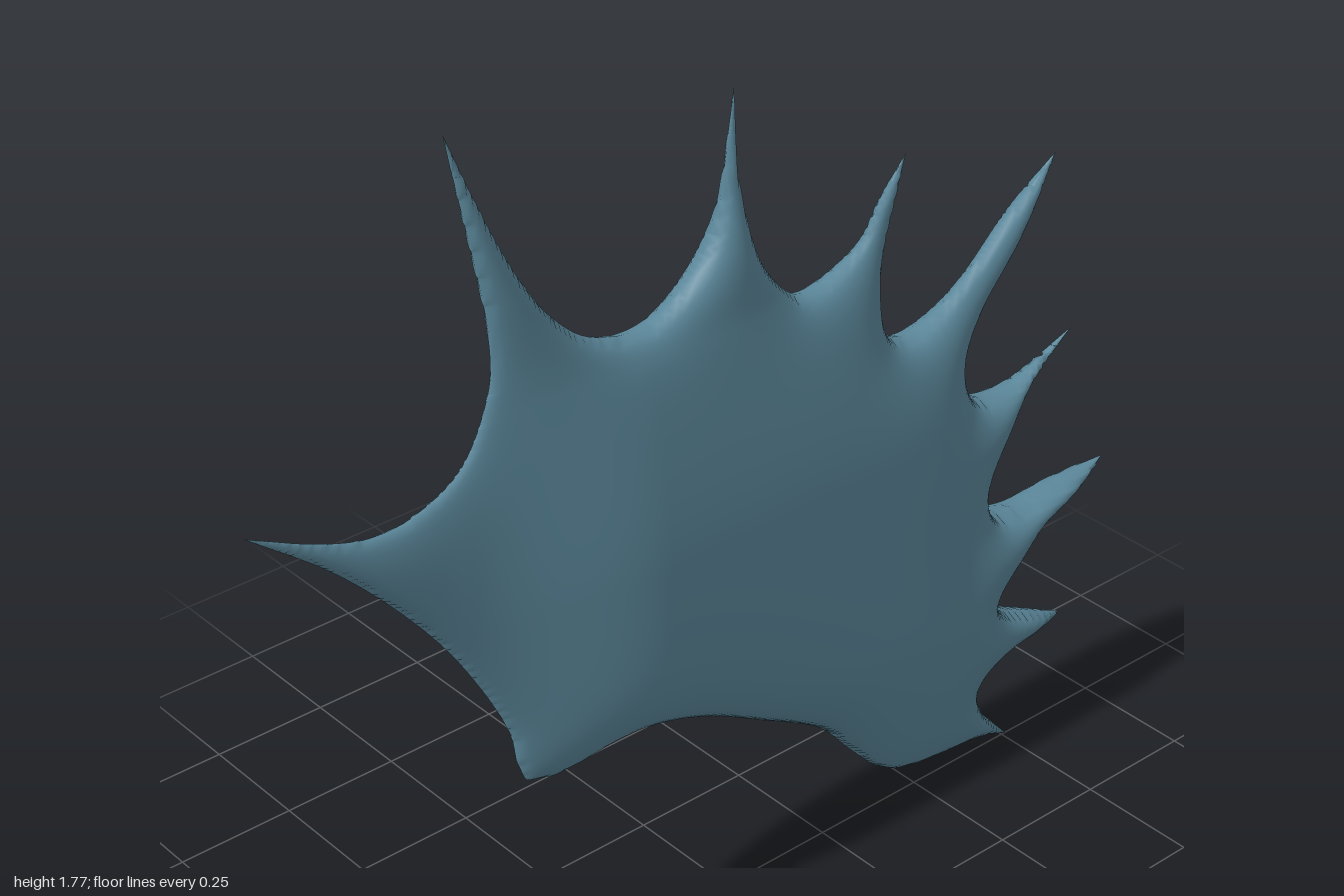
import * as THREE from 'three';

// Spike tips as [z, y], from the front spike over the top and down the back
const TIPS = [
  [1, 1.21], [0.58, 1.77], [-0.015, 1.67], [-0.42, 1.425], [-0.81, 1.305],
  [-0.885, 0.91], [-1, 0.575], [-0.9, 0.243], [-0.76, 0.003],
];

// Curved edge leading from each tip to the next; the last one is the lower edge
const EDGES = [
  [[0.855, 1.14], [0.76, 1.112], [0.68, 1.117], [0.58, 1.166], [0.517, 1.283], [0.507, 1.365]],
  [[0.517, 1.62], [0.464, 1.508], [0.389, 1.39], [0.303, 1.315], [0.185, 1.294], [0.072, 1.364], [0.024, 1.444], [0.003, 1.55]],
  [[-0.024, 1.5], [-0.056, 1.364], [-0.1, 1.289], [-0.17, 1.23], [-0.31, 1.278], [-0.357, 1.348]],
  [[-0.378, 1.294], [-0.357, 1.203], [-0.373, 1.08], [-0.432, 1.053], [-0.512, 1.075], [-0.593, 1.128], [-0.689, 1.214]],
  [[-0.705, 1.15], [-0.609, 1.032], [-0.571, 0.947], [-0.603, 0.861], [-0.7, 0.84], [-0.796, 0.872]],
  [[-0.769, 0.834], [-0.684, 0.749], [-0.641, 0.652], [-0.662, 0.583], [-0.743, 0.556], [-0.877, 0.567]],
  [[-0.903, 0.535], [-0.769, 0.487], [-0.694, 0.422], [-0.673, 0.385], [-0.716, 0.332], [-0.812, 0.283]],
  [[-0.796, 0.235], [-0.705, 0.23], [-0.651, 0.187], [-0.673, 0.107], [-0.716, 0.053]],
  [[-0.673, 0.037], [-0.528, 0.053], [-0.416, 0.08], [-0.33, 0.16], [-0.233, 0.267], [-0.072, 0.364], [0.088, 0.449],
    [0.25, 0.492], [0.41, 0.47], [0.48, 0.492], [0.496, 0.588], [0.598, 0.79], [0.705, 0.936], [0.84, 1.08]],
];

const STEP = 0.01;        // grid spacing
const HALF_DEPTH = 0.085; // half thickness of the broad middle
const ROUNDING = 0.07;    // how far the rounded rim reaches inwards

// Thickness factor: thin front edge, fat rear spikes, slimmer top and bottom
function taper(z, y) {
  const ramp = THREE.MathUtils.smoothstep;
  const thinning = 0.63 * ramp(z, 0.2, 0.58) - 0.55 * ramp(z, 0.6, 1);
  const front = 1 - thinning * (1 - ramp(y, 1.3, 1.6));
  const rear = 1 + 1.2 * ramp(-z, 0.55, 0.88);
  const top = 1 - 0.3 * ramp(y, 0.85, 1.3) + 0.3 * ramp(y, 1.25, 1.45);
  const bottom = 0.65 + 0.35 * ramp(y, 0.05, 0.45);
  return front * rear * top * bottom;
}

// Signed distance to the outline, positive inside
function signedDistance(pts, z, y) {
  let best = Infinity, inside = false;
  for (let i = 0, j = pts.length - 1; i < pts.length; j = i++) {
    const a = pts[j], b = pts[i];
    const dz = b.x - a.x, dy = b.y - a.y;
    const t = Math.min(1, Math.max(0, ((z - a.x) * dz + (y - a.y) * dy) / (dz * dz + dy * dy || 1)));
    best = Math.min(best, Math.hypot(z - a.x - t * dz, y - a.y - t * dy));
    if ((a.y > y) !== (b.y > y) && z < a.x + (dz * (y - a.y)) / dy) inside = !inside;
  }
  return inside ? Math.max(best, 1e-5) : -Math.max(best, 1e-5);
}

// Inflates the outline into a smooth cushion, mirrored in x
function cushionGeometry(outline) {
  const z0 = -1.0237, y0 = -0.0237, nz = 206, ny = 183;
  const at = (i, j) => j * nz + i;
  const dist = new Float64Array(nz * ny);
  for (let j = 0; j < ny; j++) for (let i = 0; i < nz; i++) {
    dist[at(i, j)] = signedDistance(outline, z0 + i * STEP, y0 + j * STEP);
  }

  // Relax a membrane that is zero on the outline and levels off in the middle
  const lift = new Float64Array(nz * ny), k = (ROUNDING / STEP) ** 2;
  for (let pass = 0; pass < 250; pass++) {
    for (let n = nz; n < nz * ny - nz; n++) {
      if (dist[n] <= 0) continue;
      let sum = 0, diagonal = 4;
      for (const m of [n - 1, n + 1, n - nz, n + nz]) {
        if (dist[m] > 0) sum += lift[m];
        else diagonal -= dist[m] / dist[n];
      }
      lift[n] = (1 + k * sum) / (1 + k * diagonal);
    }
  }

  const positions = [], index = [], known = new Map();
  const addVertex = (key, x, y, z) => {
    if (!known.has(key)) {
      known.set(key, positions.length / 3);
      positions.push(x, y, z);
    }
    return known.get(key);
  };
  const surfaceVertex = (i, j, side) => {
    const y = y0 + j * STEP, z = z0 + i * STEP;
    const depth = HALF_DEPTH * Math.sqrt(lift[at(i, j)]) * taper(z, y);
    return addVertex(`${side},${at(i, j)}`, side * depth, y, z);
  };
  const rimVertex = ([i, j], [p, q]) => {
    const a = at(i, j), b = at(p, q), t = dist[a] / (dist[a] - dist[b]);
    return addVertex(`rim${Math.min(a, b)},${Math.max(a, b)}`,
      0, y0 + (j + (q - j) * t) * STEP, z0 + (i + (p - i) * t) * STEP);
  };

  // Clip every grid cell to the outline and fan it on both sides
  for (let j = 0; j < ny - 1; j++) for (let i = 0; i < nz - 1; i++) {
    const corners = [[i, j], [i + 1, j], [i + 1, j + 1], [i, j + 1]];
    for (const side of [1, -1]) {
      const face = [];
      corners.forEach((c, n) => {
        const d = corners[(n + 1) % 4];
        const cIn = dist[at(...c)] > 0, dIn = dist[at(...d)] > 0;
        if (cIn) face.push(surfaceVertex(...c, side));
        if (cIn !== dIn) face.push(rimVertex(c, d));
      });
      if (side > 0) face.reverse();
      for (let n = 1; n < face.length - 1; n++) index.push(face[0], face[n], face[n + 1]);
    }
  }

  const geometry = new THREE.BufferGeometry();
  geometry.setAttribute('position', new THREE.Float32BufferAttribute(positions, 3));
  geometry.setIndex(index);
  geometry.computeVertexNormals();
  return geometry;
}

export function createModel() {
  const group = new THREE.Group();
  group.name = 'spikedFin';
  const blue = new THREE.MeshStandardMaterial({ color: 0x5b879a });
  blue.name = 'slateBlue';

  // Outline: one spline per edge, kept sharp at the tips
  const count = TIPS.length;
  const curves = EDGES.map((edge, i) => new THREE.CatmullRomCurve3(
    [TIPS[i], ...edge, TIPS[(i + 1) % count]].map(([z, y]) => new THREE.Vector3(z, y, 0)), false, 'centripetal'));
  const outline = curves.flatMap((c) => c.getSpacedPoints(40).slice(0, -1));

  const blade = new THREE.Mesh(cushionGeometry(outline), blue);
  blade.name = 'finBlade';
  group.add(blade);

  // Fine points finishing each spike, as thick as the blade where they start
  TIPS.forEach(([z, y], i) => {
    const before = curves[(i + count - 1) % count], after = curves[i];
    const a = before.getPointAt(1 - 0.08 / before.getLength());
    const b = after.getPointAt(0.08 / after.getLength());
    const base = new THREE.Vector3(0, (a.y + b.y) / 2, (a.x + b.x) / 2);
    const axis = new THREE.Vector3(0, y, z).sub(base);
    const length = axis.length();
    const cone = new THREE.ConeGeometry(a.distanceTo(b) / 2 * 0.95, length, 16, 1, true);
    cone.translate(0, length / 2, 0).scale(0.86 * taper(base.z, base.y), 1, 1);
    const point = new THREE.Mesh(cone, blue);
    point.name = 'spikePoint';
    point.position.copy(base);
    point.rotation.x = Math.atan2(axis.z, axis.y);
    group.add(point);
  });

  return group;
}
